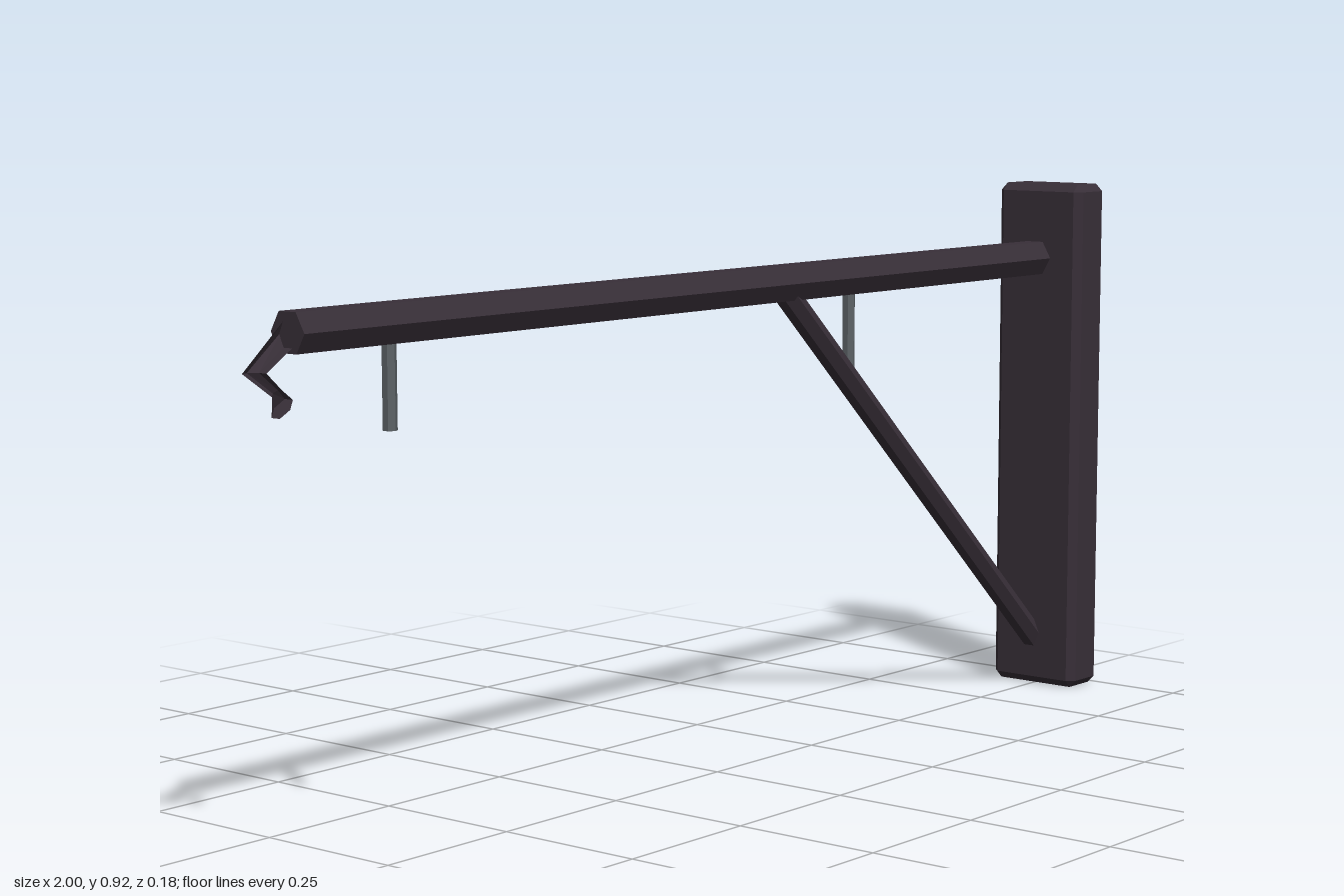
import * as THREE from 'three';
import { ConvexGeometry } from 'three/addons/geometries/ConvexGeometry.js';

const Z = -0.006; // plane of the arm

export function createModel() {
  const group = new THREE.Group();
  const iron = new THREE.MeshStandardMaterial({ color: 0x382f38, flatShading: true });
  iron.name = 'dark iron';
  const steel = new THREE.MeshStandardMaterial({ color: 0x5c6266, flatShading: true });
  steel.name = 'grey steel';

  const add = (name, geometry, material) => {
    const mesh = new THREE.Mesh(geometry, material);
    mesh.name = name;
    group.add(mesh);
    return mesh;
  };

  // Six-sided bar between two points, with points of the hexagon at +z and -z
  const bar = (name, x0, y0, x1, y1, radius, material) => {
    const dx = x1 - x0, dy = y1 - y0;
    const geometry = new THREE.CylinderGeometry(radius, radius, Math.hypot(dx, dy), 6);
    const mesh = add(name, geometry, material);
    mesh.position.set((x0 + x1) / 2, (y0 + y1) / 2, Z);
    mesh.rotation.z = Math.atan2(dy, dx) - Math.PI / 2;
  };

  // Wall plate with every edge chamfered
  const half = [0.0435, 0.4585, 0.088], bevel = 0.013;
  const corners = [];
  for (const sx of [-1, 1]) for (const sy of [-1, 1]) for (const sz of [-1, 1]) {
    for (let axis = 0; axis < 3; axis++) {
      const p = half.map((h, i) => (i === axis ? h : h - bevel));
      corners.push(new THREE.Vector3(sx * p[0], sy * p[1], sz * p[2]));
    }
  }
  add('wallPlate', new ConvexGeometry(corners), iron).position.set(0.9565, 0.4585, 0);

  // Arm, diagonal brace and hanging rods
  bar('arm', -0.92, 0.784, 0.93, 0.784, 0.0335, iron);
  bar('brace', 0.175, 0.775, 0.935, 0.075, 0.021, iron);
  for (const x of [-0.726, 0.355]) bar('hangingRod', x, 0.63, x, 0.775, 0.011, steel);

  // Hook: hexagonal sections, each [outer x, outer y, inner x, inner y, half width]
  const sections = [
    [-0.912, 0.806, -0.912, 0.768, 0.017],
    [-0.998, 0.733, -0.967, 0.732, 0.015],
    [-0.947, 0.697, -0.936, 0.706, 0.009],
    [-0.945, 0.668, -0.920, 0.692, 0.016],
  ];
  const positions = [], index = [];
  sections.forEach(([ox, oy, ix, iy, w]) => {
    for (let k = 0; k < 6; k++) {
      const a = (k + 0.5) * Math.PI / 3;
      const t = Math.cos(a) / Math.cos(Math.PI / 6) / 2;
      positions.push(
        (ox + ix) / 2 + (ox - ix) * t,
        (oy + iy) / 2 + (oy - iy) * t,
        Z + w * Math.sin(a));
    }
  });
  for (let s = 0; s < sections.length - 1; s++) {
    for (let k = 0; k < 6; k++) {
      const a = s * 6 + k, b = s * 6 + (k + 1) % 6;
      index.push(a, b, a + 6, b, b + 6, a + 6);
    }
  }
  const last = (sections.length - 1) * 6;
  for (let k = 1; k < 5; k++) {
    index.push(0, k + 1, k);
    index.push(last, last + k, last + k + 1);
  }
  const hook = new THREE.BufferGeometry();
  hook.setAttribute('position', new THREE.Float32BufferAttribute(positions, 3));
  hook.setIndex(index);
  const hookFlat = hook.toNonIndexed();
  hookFlat.computeVertexNormals();
  add('hook', hookFlat, iron);

  return group;
}
